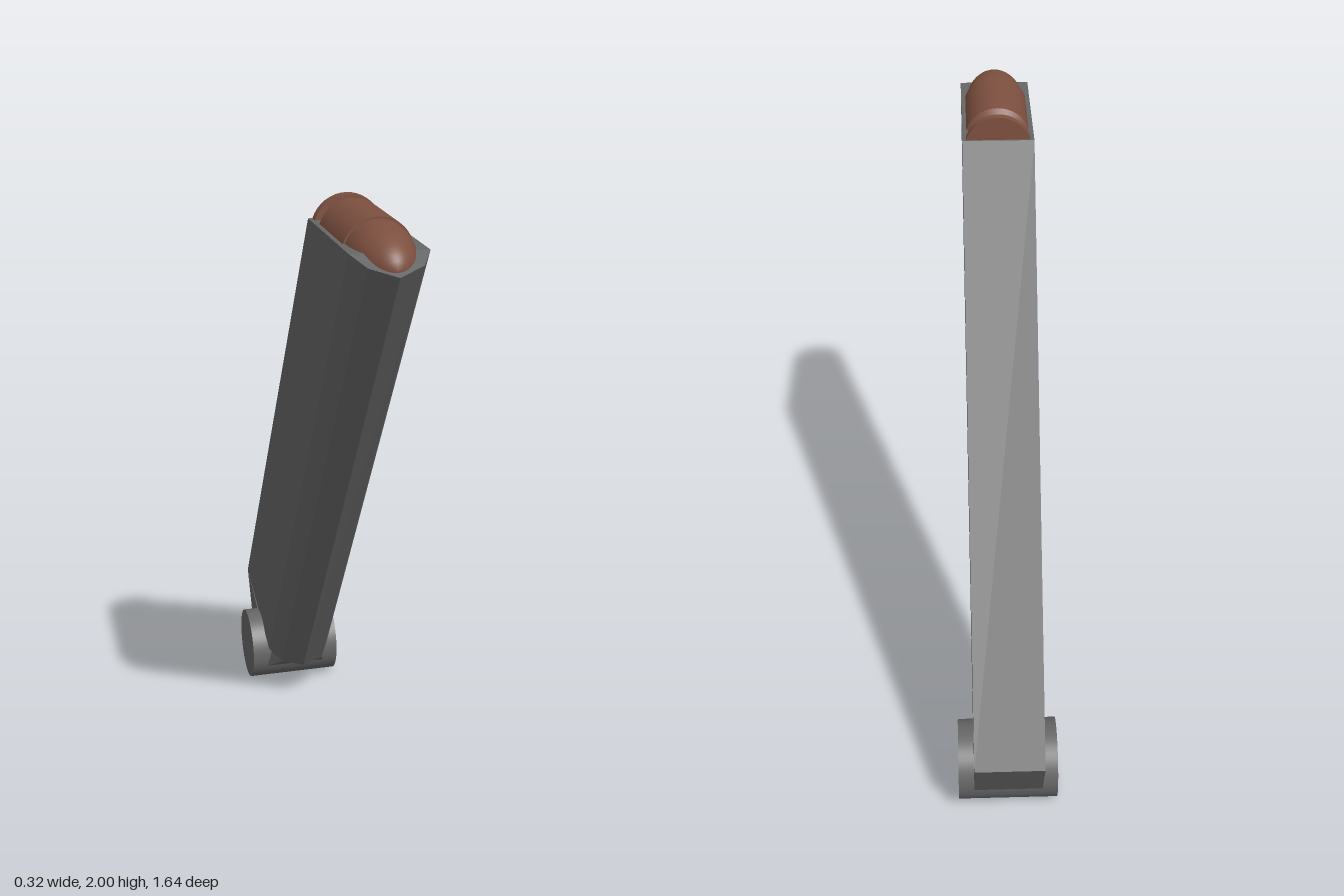
import * as THREE from 'three';

const metal = new THREE.MeshStandardMaterial({ color: 0x666666, flatShading: true });
const metalSmooth = new THREE.MeshStandardMaterial({ color: 0x666666 });
const copper = new THREE.MeshStandardMaterial({ color: 0x7d5040 });

function addMesh(group, name, geometry, material) {
  const mesh = new THREE.Mesh(geometry, material);
  mesh.name = name;
  group.add(mesh);
  return mesh;
}

// Leaning case lofted between two seven-point rings, each point [x, y, z]
function caseGeometry() {
  const ring = (half) => {
    const [back, side, bevel, tip] = half;
    const flip = ([x, y, z]) => [-x, y, z];
    return [flip(back), flip(side), flip(bevel), tip, bevel, side, back];
  };
  const top = ring([[0.11, 1.93, 0.26], [0.11, 1.93, 0.72], [0.075, 1.905, 0.785], [0, 1.885, 0.82]]);
  const bottom = ring([[0.11, 0.325, -0.82], [0.11, 0.187, -0.415], [0.075, 0.165, -0.345], [0, 0.155, -0.32]]);
  const n = top.length;
  const index = [];
  for (let i = 0; i < n; i++) {
    const j = (i + 1) % n;
    index.push(n + i, n + j, j, n + i, j, i);
  }
  const caps = [[0, 1, 5], [0, 5, 6], [1, 2, 3], [1, 3, 4], [1, 4, 5]];
  for (const [a, b, c] of caps) index.push(a, b, c, n + a, n + c, n + b);
  const geometry = new THREE.BufferGeometry();
  geometry.setAttribute('position', new THREE.Float32BufferAttribute([...top, ...bottom].flat(), 3));
  geometry.setIndex(index);
  const flat = geometry.toNonIndexed();
  flat.computeVertexNormals();
  return flat;
}

// Side profile of [z, y] points extruded across the width
function bracketGeometry(points, width) {
  const shape = new THREE.Shape(points.map(([z, y]) => new THREE.Vector2(z, y)));
  const geometry = new THREE.ExtrudeGeometry(shape, { depth: width, bevelEnabled: false });
  geometry.translate(0, 0, -width / 2);
  geometry.rotateY(-Math.PI / 2);
  return geometry;
}

export function createModel() {
  const model = new THREE.Group();
  model.name = 'magazine';

  addMesh(model, 'case', caseGeometry(), metal);

  // Round base lying across the bottom
  const base = new THREE.CylinderGeometry(0.128, 0.128, 0.32, 48);
  base.rotateZ(Math.PI / 2);
  addMesh(model, 'baseRoller', base, metalSmooth).position.set(0, 0.128, -0.585);

  // Wedges joining the case to the base; the front one narrows to the bevel
  const front = bracketGeometry([[-0.345, 0.165], [-0.5, 0.2], [-0.58, 0.13], [-0.47, 0.082]], 0.22);
  const p = front.attributes.position;
  for (let i = 0; i < p.count; i++) {
    if (p.getZ(i) > -0.4) p.setX(i, p.getX(i) * 0.68);
  }
  front.computeVertexNormals();
  addMesh(model, 'frontBracket', front, metal);
  const back = bracketGeometry([[-0.82, 0.325], [-0.63, 0.245], [-0.58, 0.13], [-0.71, 0.115]], 0.22);
  addMesh(model, 'backBracket', back, metal);

  // Cartridge lying in the top, pointing forward
  const cartridge = new THREE.Group();
  cartridge.name = 'cartridge';
  cartridge.position.set(0, 1.897, 0);
  model.add(cartridge);
  // Each [radius, z] section is turned separately so its edges stay sharp
  const turn = (name, profile) => {
    const geometry = new THREE.LatheGeometry(profile.map(([r, z]) => new THREE.Vector2(r, z)), 40);
    geometry.rotateX(Math.PI / 2);
    addMesh(cartridge, name, geometry, copper);
  };
  turn('rimFace', [[0, 0.265], [0.104, 0.265]]);
  turn('rim', [[0.104, 0.265], [0.104, 0.292]]);
  turn('rimFront', [[0.104, 0.292], [0.084, 0.292]]);
  turn('groove', [[0.084, 0.292], [0.084, 0.325]]);
  turn('shoulder', [[0.084, 0.325], [0.102, 0.343]]);
  turn('casing', [[0.102, 0.343], [0.102, 0.605]]);
  turn('casingMouth', [[0.102, 0.605], [0.096, 0.605]]);
  const nose = [];
  for (let i = 0; i <= 12; i++) {
    const a = (i / 12) * Math.PI / 2;
    nose.push([0.096 * Math.cos(a), 0.605 + 0.197 * Math.sin(a)]);
  }
  turn('bullet', nose);

  return model;
}
